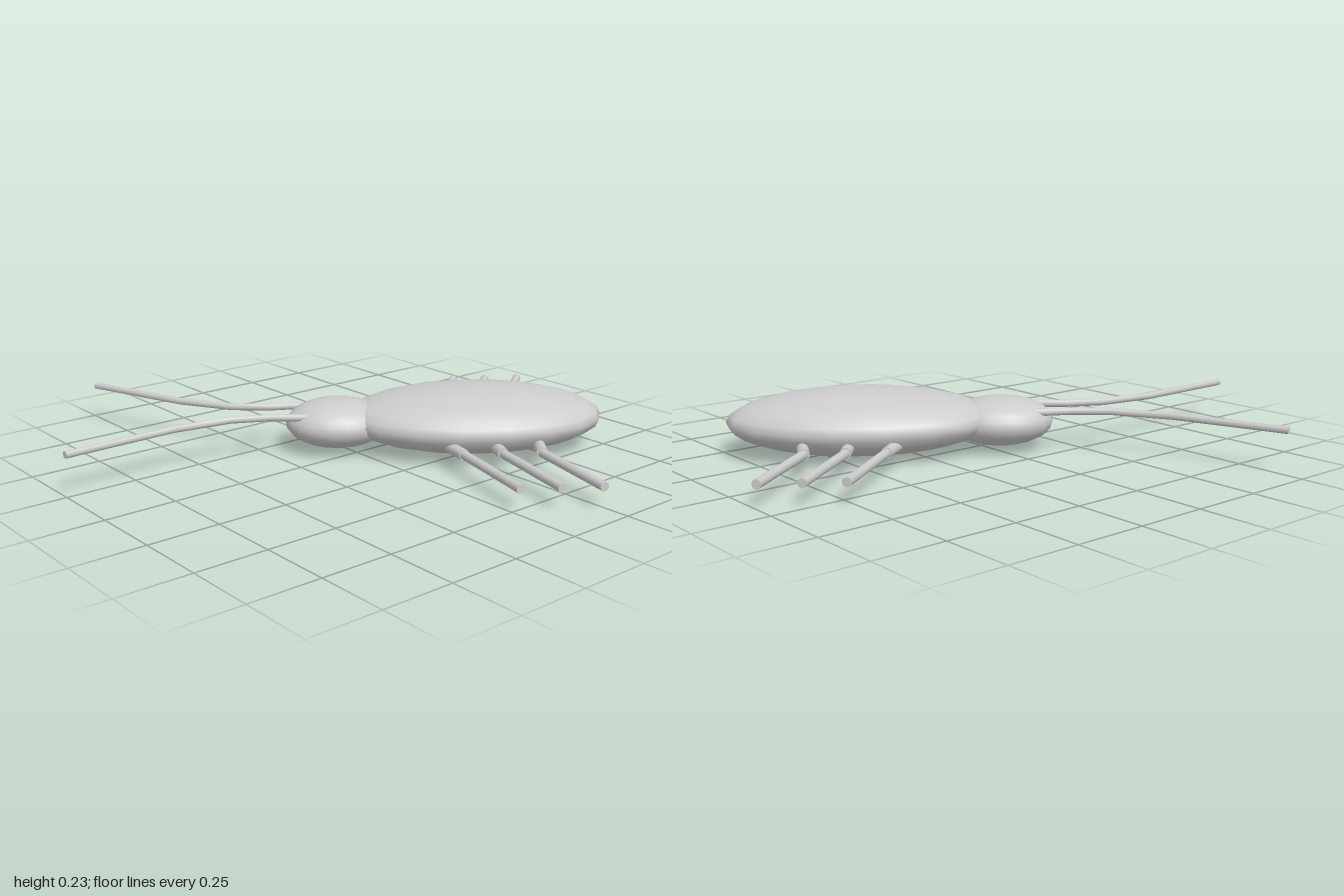
import * as THREE from 'three';

const material = new THREE.MeshStandardMaterial({ color: 0xcccccc });

function addMesh(parent, name, geometry) {
  const mesh = new THREE.Mesh(geometry, material);
  mesh.name = name;
  parent.add(mesh);
  return mesh;
}

function ellipsoid(parent, name, center, radii) {
  const geometry = new THREE.SphereGeometry(1, 18, 14);
  geometry.scale(...radii);
  addMesh(parent, name, geometry).position.set(...center);
}

// Capped cylinder running from a to b
function rod(parent, name, a, b, radius) {
  const dir = b.clone().sub(a);
  const mesh = addMesh(parent, name, new THREE.CylinderGeometry(radius, radius, dir.length(), 10));
  mesh.position.copy(a).addScaledVector(dir, 0.5);
  mesh.quaternion.setFromUnitVectors(new THREE.Vector3(0, 1, 0), dir.normalize());
}

// Bent feeler whose rings sit on its control points, closed at the tip
function antenna(parent, name, points, radius) {
  const curve = new THREE.CatmullRomCurve3(points);
  curve.getUtoTmapping = (u) => u;
  const group = new THREE.Group();
  group.name = name;
  parent.add(group);
  addMesh(group, 'feeler', new THREE.TubeGeometry(curve, points.length - 1, radius, 8));
  const cap = addMesh(group, 'feelerTip', new THREE.CircleGeometry(radius, 8));
  cap.position.copy(points[points.length - 1]);
  cap.quaternion.setFromUnitVectors(new THREE.Vector3(0, 0, 1), curve.getTangent(1));
}

export function createModel() {
  const model = new THREE.Group();
  model.name = 'insect';

  // The insect lies along local x with its head at -x, turned 35 degrees
  const insect = new THREE.Group();
  insect.name = 'turnedInsect';
  insect.position.set(0.37, 0, 0.205);
  insect.rotation.y = THREE.MathUtils.degToRad(-35);
  model.add(insect);

  ellipsoid(insect, 'body', [0, 0.115, 0], [0.466, 0.113, 0.27]);
  ellipsoid(insect, 'head', [-0.485, 0.105, 0], [0.185, 0.086, 0.153]);

  // Leg stations along the body: root, knee and foot positions
  const legs = [
    [-0.146, -0.082, 0.038],
    [0.03, 0.051, 0.169],
    [0.2, 0.184, 0.302],
  ];
  const feeler = [[-0.598, 0.077], [-0.725, 0.065], [-0.861, 0.081], [-1.053, 0.171], [-1.38, 0.41]];

  for (const [side, label] of [[-1, 'left'], [1, 'right']]) {
    legs.forEach(([rootX, kneeX, footX], i) => {
      const leg = new THREE.Group();
      leg.name = `${label}Leg${i + 1}`;
      insect.add(leg);
      const y = 0.073;
      const root = new THREE.Vector3(rootX, y, side * 0.15);
      const knee = new THREE.Vector3(kneeX, y, side * 0.311);
      const foot = new THREE.Vector3(footX, y, side * 0.647);
      rod(leg, 'upperLeg', root, knee, 0.02);
      rod(leg, 'lowerLeg', knee, foot, 0.016);
    });
    antenna(insect, `${label}Antenna`, feeler.map(([x, z]) => new THREE.Vector3(x, 0.145, side * z)), 0.013);
  }
  return model;
}
